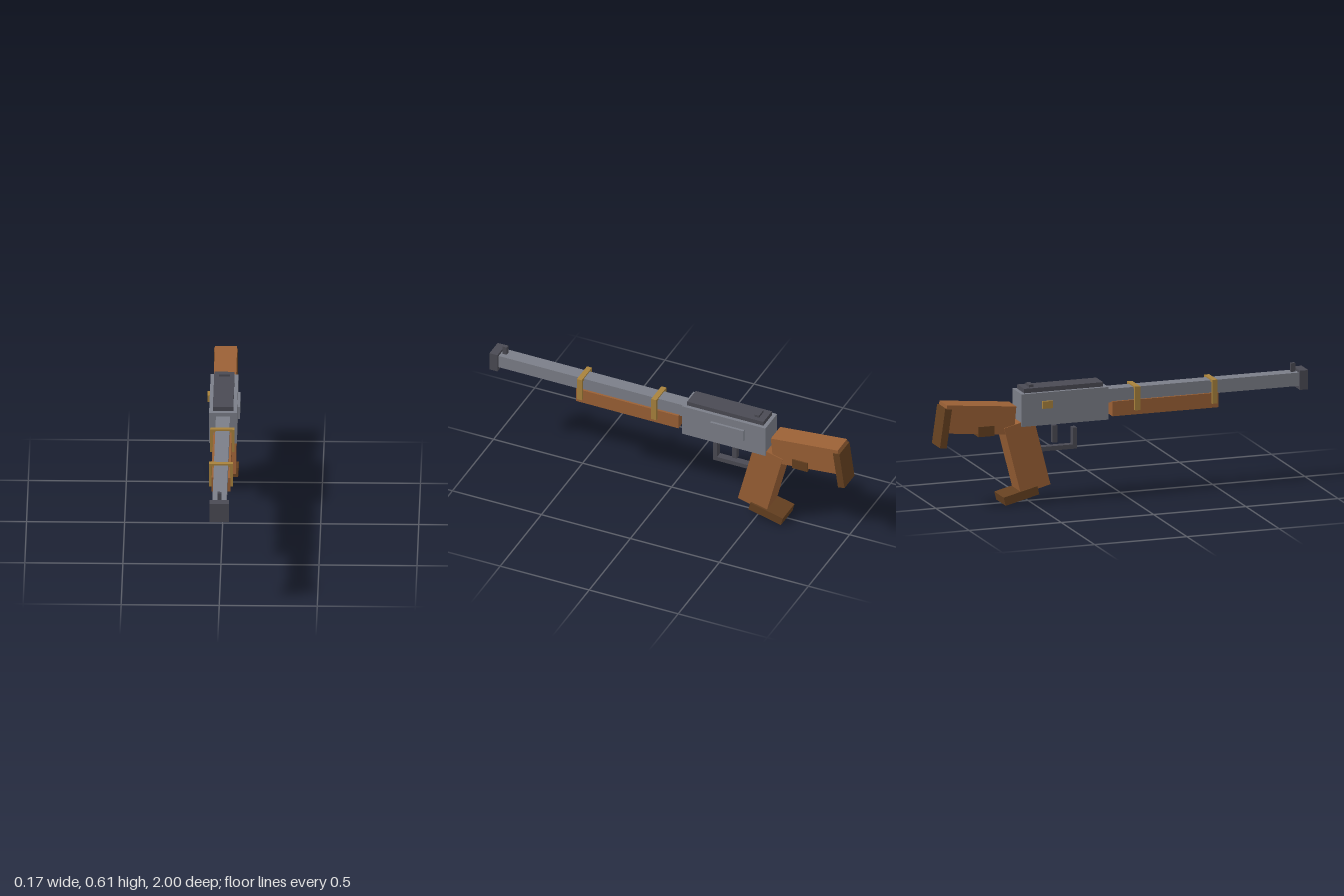
import * as THREE from 'three';

function material(name, color) {
  const m = new THREE.MeshStandardMaterial({ color });
  m.name = name;
  return m;
}

export function createModel() {
  const model = new THREE.Group();
  model.name = 'rifle';

  const steel = material('steel', 0x7b7e88);
  const darkMetal = material('darkMetal', 0x4a4a53);
  const wood = material('wood', 0x9a6035);
  const darkWood = material('darkWood', 0x654020);
  const brass = material('brass', 0xa8823c);

  // Box from its limits on each axis
  function block(name, mat, [x0, x1], [y0, y1], [z0, z1], parent = model) {
    const mesh = new THREE.Mesh(new THREE.BoxGeometry(x1 - x0, y1 - y0, z1 - z0), mat);
    mesh.position.set((x0 + x1) / 2, (y0 + y1) / 2, (z0 + z1) / 2);
    mesh.name = name;
    parent.add(mesh);
    return mesh;
  }

  // Box on the centre plane, pitched about x
  function tilted(name, mat, size, y, z, degrees) {
    const mesh = new THREE.Mesh(new THREE.BoxGeometry(...size), mat);
    mesh.position.set(0, y, z);
    mesh.rotation.x = THREE.MathUtils.degToRad(degrees);
    mesh.name = name;
    model.add(mesh);
  }

  const wide = (half) => [-half, half];

  // Barrel, muzzle and front sight
  block('barrel', steel, wide(0.036), [0.49, 0.56], [-0.1, 0.96]);
  block('muzzle', darkMetal, wide(0.05), [0.472, 0.573], [0.955, 1]);
  block('frontSight', darkMetal, wide(0.01), [0.555, 0.605], [0.922, 0.945]);

  // Fore-end and the two barrel bands
  block('foreEnd', wood, wide(0.048), [0.418, 0.495], [-0.06, 0.514]);
  for (const z of [0.072, 0.49]) {
    const band = new THREE.Group();
    band.name = 'barrelBand';
    const depth = [z - 0.014, z + 0.014];
    block('bandTop', brass, wide(0.062), [0.552, 0.567], depth, band);
    for (const side of [-1, 1]) {
      block('bandSide', brass, wide(0.0075), [0.442, 0.56], depth, band).position.x = side * 0.0545;
    }
    model.add(band);
  }

  // Receiver with its cover, rear sight and side fittings
  block('receiver', steel, wide(0.071), [0.409, 0.58], [-0.56, -0.09]);
  block('topCover', darkMetal, wide(0.052), [0.575, 0.603], [-0.54, -0.112]);
  block('rearSight', darkMetal, wide(0.028), [0.6, 0.616], [-0.504, -0.48]);
  block('sidePanel', steel, [0.065, 0.084], [0.471, 0.536], [-0.442, -0.255]);
  block('sideButton', brass, [-0.085, -0.065], [0.498, 0.536], [-0.45, -0.395]);

  // Trigger and guard
  block('trigger', darkMetal, wide(0.013), [0.298, 0.388], [-0.372, -0.346]);
  block('guardPost', darkMetal, wide(0.019), [0.258, 0.369], [-0.264, -0.242]);
  block('guardBar', darkMetal, wide(0.019), [0.258, 0.281], [-0.46, -0.25]);

  // Grip and grip cap
  tilted('grip', wood, [0.123, 0.366, 0.165], 0.25, -0.526, -14.4);
  tilted('gripCap', darkWood, [0.142, 0.045, 0.188], 0.047, -0.561, -14);

  // Shoulder stock, butt plate and stock inlay
  tilted('stock', wood, [0.114, 0.147, 0.378], 0.461, -0.779, 5.5);
  tilted('buttPlate', darkWood, [0.122, 0.205, 0.037], 0.431, -0.967, 8);
  block('stockInlay', darkWood, wide(0.064), [0.373, 0.426], [-0.792, -0.706]);

  return model;
}
